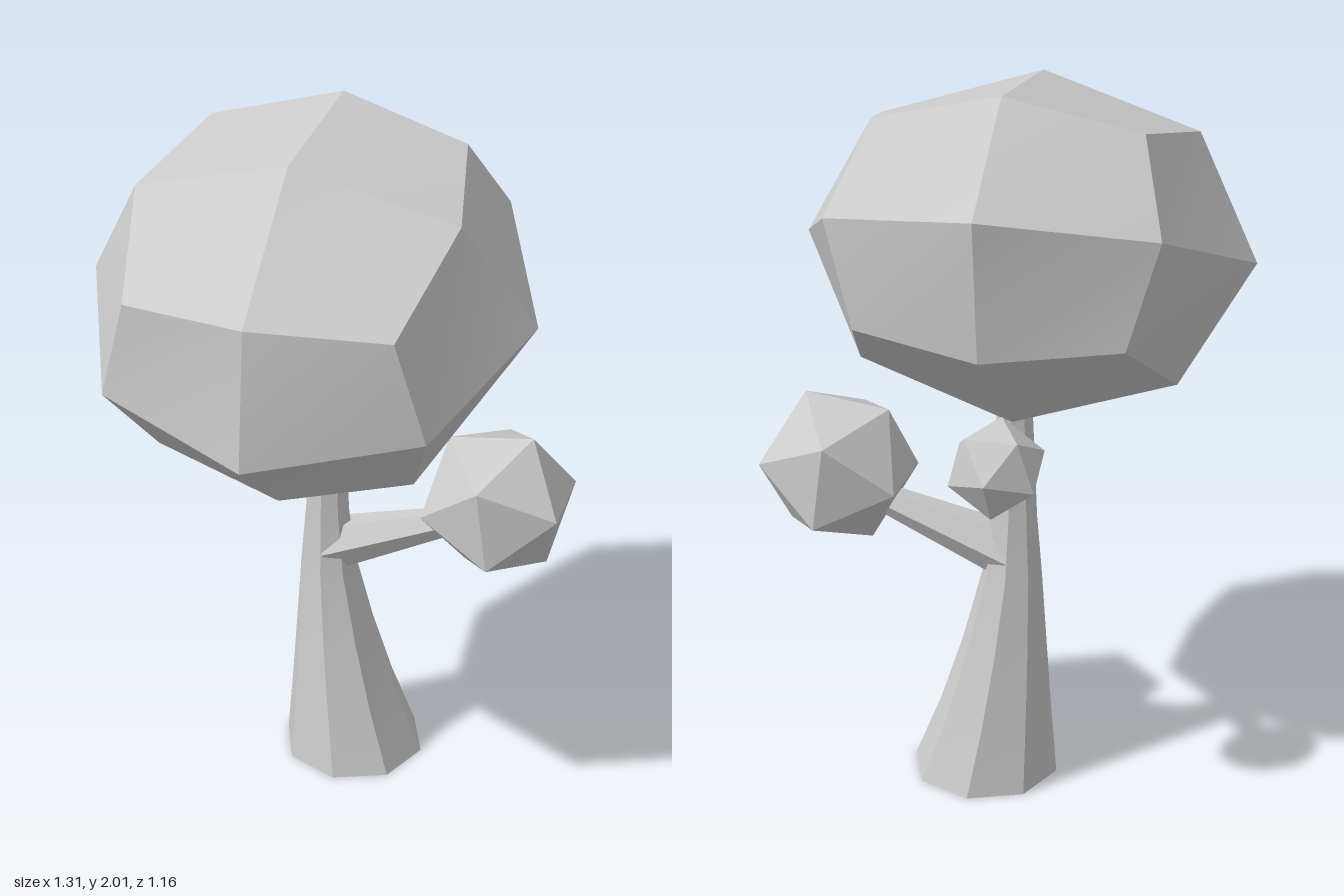
import * as THREE from 'three';
import { toCreasedNormals } from 'three/addons/utils/BufferGeometryUtils.js';

const material = new THREE.MeshStandardMaterial({ color: 0xcccccc, flatShading: true });
const smoothMaterial = new THREE.MeshStandardMaterial({ color: 0xcccccc });

function part(name, geometry, mat = material) {
  const mesh = new THREE.Mesh(geometry, mat);
  mesh.name = name;
  return mesh;
}

// Eight-sided trunk, bent and flared by [height, centre x, radius] rings
function trunkGeometry() {
  const rings = [
    [0, 0.05, 0.21], [0.2, 0.018, 0.162], [0.4, -0.008, 0.122],
    [0.62, -0.03, 0.085], [0.8, -0.035, 0.065], [1.2, -0.038, 0.045],
  ];
  const last = rings.length - 1;
  const geometry = new THREE.CylinderGeometry(1, 1, last, 8, last);
  const p = geometry.attributes.position;
  for (let i = 0; i < p.count; i++) {
    const [y, cx, r] = rings[Math.round(p.getY(i) + last / 2)];
    p.setXYZ(i, cx + p.getX(i) * r, y, -0.125 + p.getZ(i) * r);
  }
  return toCreasedNormals(geometry, 0.4);
}

// Tapered six-sided limb between two points
function branch(name, from, to, r0, r1) {
  const a = new THREE.Vector3(...from);
  const b = new THREE.Vector3(...to);
  const dir = b.clone().sub(a);
  const mesh = part(name, new THREE.CylinderGeometry(r1, r0, dir.length(), 6));
  mesh.position.copy(a).add(b).multiplyScalar(0.5);
  mesh.quaternion.setFromUnitVectors(new THREE.Vector3(0, 1, 0), dir.normalize());
  return mesh;
}

// Faceted leaf ball
function leafBall(name, radius, position, rotation) {
  const mesh = part(name, new THREE.IcosahedronGeometry(radius, 0));
  mesh.position.set(...position);
  mesh.rotation.set(...rotation);
  return mesh;
}

// Crown: subdivided box pushed out to a flattened ball
function crownGeometry() {
  const geometry = new THREE.BoxGeometry(2, 2, 2, 2, 2, 2);
  const p = geometry.attributes.position;
  const v = new THREE.Vector3();
  for (let i = 0; i < p.count; i++) {
    v.fromBufferAttribute(p, i).normalize();
    p.setXYZ(i, v.x * 0.62, v.y * 0.475, v.z * 0.62);
  }
  return toCreasedNormals(geometry, 0.4);
}

export function createModel() {
  const tree = new THREE.Group();
  tree.name = 'tree';

  const crown = part('crown', crownGeometry(), smoothMaterial);
  crown.position.set(-0.04, 1.53, 0.005);
  crown.rotation.x = THREE.MathUtils.degToRad(22);

  tree.add(
    part('trunk', trunkGeometry(), smoothMaterial),
    crown,
    branch('sideBranch', [-0.03, 0.68, -0.125], [0.36, 0.825, -0.145], 0.08, 0.037),
    branch('backBranch', [-0.037, 0.88, -0.125], [-0.065, 1.05, -0.41], 0.045, 0.027),
    leafBall('sideLeaves', 0.229, [0.46, 0.905, -0.147], [0, 0, 0.141]),
    leafBall('backLeaves', 0.134, [-0.067, 1.07, -0.444], [-0.553, 0, 0]),
  );
  return tree;
}
